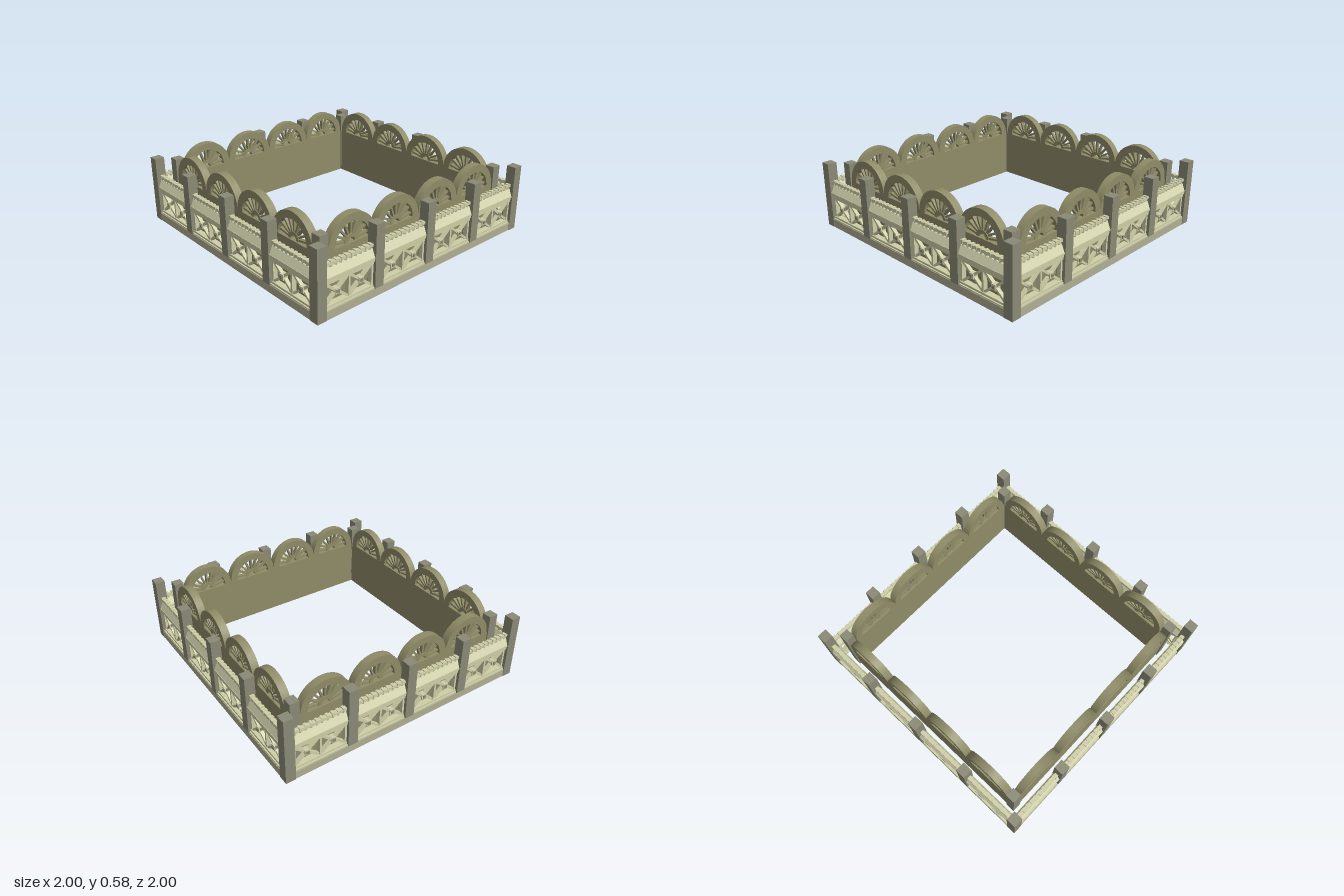
import * as THREE from 'three';

const mat = (color) => new THREE.MeshStandardMaterial({ color, flatShading: true });
const stone = mat(0x8b8a76), wallMat = mat(0x8f8c68), baseMat = mat(0xb0ae92);
const pale = mat(0xcfcfa8), coping = mat(0xd9d9b4);

function add(parent, name, geometry, material, x = 0, y = 0, z = 0) {
  const m = new THREE.Mesh(geometry, material);
  m.name = name;
  m.position.set(x, y, z);
  parent.add(m);
  return m;
}

// box given by its centre in x and z and its lower and upper y
function box(parent, name, material, x, y0, y1, z, w, d) {
  return add(parent, name, new THREE.BoxGeometry(w, y1 - y0, d), material, x, (y0 + y1) / 2, z);
}

function extrude(shape, depth, segments = 12) {
  const g = new THREE.ExtrudeGeometry(shape, { depth, bevelEnabled: false, curveSegments: segments });
  return g.translate(0, 0, -depth / 2);
}

// half ring standing on its chord
function halfRing(outer, inner) {
  const s = new THREE.Shape();
  s.absarc(0, 0, outer, 0, Math.PI, false);
  s.absarc(0, 0, inner, Math.PI, 0, true);
  s.closePath();
  return s;
}

const POST = 0.075, PITCH = 0.481, BAY = PITCH - POST, RAIL_Z = 0.961;
const WALL_Z = 0.848, ARCH_R = 0.202, WALL_TOP = 0.38;

const rimGeo = extrude(halfRing(ARCH_R, 0.147), 0.058, 24);
const hubGeo = extrude(halfRing(0.055, 0.03), 0.034, 12);
const spokeGeo = new THREE.BoxGeometry(0.105, 0.014, 0.026);

// half wheel with spokes, set on the inner wall
function wheelArch() {
  const g = new THREE.Group();
  g.name = 'wheelArch';
  add(g, 'archRim', rimGeo, wallMat);
  add(g, 'archHub', hubGeo, wallMat);
  const n = 9;
  for (let i = 0; i < n; i++) {
    const a = (i + 0.5) * Math.PI / n;
    add(g, 'spoke', spokeGeo, wallMat, Math.cos(a) * 0.1, Math.sin(a) * 0.1).rotation.z = a;
  }
  return g;
}

// square lattice field: crossed bars and a boss in the middle
function latticePanel(w, h) {
  const g = new THREE.Group();
  g.name = 'latticePanel';
  const angle = Math.atan2(h, w), len = Math.hypot(w, h) - 0.012;
  for (const s of [-1, 1]) {
    add(g, 'diagonal', new THREE.BoxGeometry(len, 0.017, 0.026), pale).rotation.z = s * angle;
  }
  add(g, 'boss', new THREE.BoxGeometry(0.04, 0.04, 0.04), pale);
  add(g, 'bossCap', new THREE.BoxGeometry(0.022, 0.022, 0.05), stone);
  return g;
}

// sloping coping cross-section, run along x
const slope = new THREE.Shape([[-0.03, 0.285], [0.03, 0.285], [0.007, 0.34], [-0.007, 0.34]]
  .map(([x, y]) => new THREE.Vector2(x, y)));
const copingGeo = extrude(slope, BAY).rotateY(Math.PI / 2);

// flared stem of a baluster, squared in plan
const stemGeo = new THREE.LatheGeometry(
  [[0, 0.285], [0.01, 0.285], [0.007, 0.31], [0.008, 0.335], [0.016, 0.36], [0, 0.36]]
    .map(([x, y]) => new THREE.Vector2(x, y)), 6);

function bay() {
  const g = new THREE.Group();
  g.name = 'fenceBay';
  // rails and ledges
  box(g, 'lowerLedge', pale, 0, 0.06, 0.07, 0, BAY, 0.065);
  box(g, 'lowerRail', pale, 0, 0.07, 0.085, 0, BAY, 0.045);
  box(g, 'upperRail', pale, 0, 0.235, 0.255, 0, BAY, 0.045);
  box(g, 'upperLedge', pale, 0, 0.255, 0.272, 0, BAY, 0.056);
  box(g, 'copingLedge', pale, 0, 0.272, 0.285, 0, BAY, 0.066);
  // stiles and lattice fields
  for (const s of [-1, 0, 1]) box(g, 'stile', pale, s * (BAY / 2 - 0.008), 0.085, 0.235, 0, 0.016, 0.034);
  for (const s of [-1, 1]) {
    const p = latticePanel(BAY / 2 - 0.016, 0.15);
    p.position.set(s * (BAY / 4 - 0.002), 0.16, 0);
    g.add(p);
  }
  // coping, balusters and top rail
  add(g, 'coping', copingGeo, coping);
  const n = 10;
  for (let i = 0; i < n; i++) {
    const x = ((i + 0.5) / n - 0.5) * BAY;
    add(g, 'baluster', stemGeo, coping, x);
    box(g, 'railTooth', pale, x, 0.358, 0.382, 0, 0.02, 0.034);
  }
  box(g, 'topRail', pale, 0, 0.356, 0.376, 0, BAY, 0.03);
  return g;
}

// one side of the enclosure, facing +z
function side() {
  const g = new THREE.Group();
  g.name = 'side';
  box(g, 'baseBoard', baseMat, 0, 0, 0.06, 0.977, 2 - 2 * POST, 0.04);
  for (let i = -1; i <= 1; i++) box(g, 'post', stone, i * PITCH, 0.06, 0.515, 0.9625, POST, POST);
  for (let i = 0; i < 4; i++) {
    const b = bay();
    b.position.set((i - 1.5) * PITCH, 0, RAIL_Z);
    g.add(b);
  }
  box(g, 'cornerPost', stone, 0.9625, 0, 0.515, 0.9625, POST, POST);

  // inner wall with its row of half wheels
  box(g, 'innerWall', wallMat, 0, 0, WALL_TOP, WALL_Z, 1.65, 0.058);
  for (let i = 0; i < 4; i++) {
    const a = wheelArch();
    a.position.set((i - 1.5) * 2 * ARCH_R, WALL_TOP, WALL_Z);
    g.add(a);
  }
  box(g, 'innerCornerPost', stone, 0.85, 0, 0.515, 0.85, 0.072, 0.072);
  return g;
}

export function createModel() {
  const model = new THREE.Group();
  model.name = 'enclosure';
  ['front', 'left', 'back', 'right'].forEach((name, i) => {
    const s = side();
    s.name = name + 'Side';
    s.rotation.y = i * Math.PI / 2;
    model.add(s);
  });
  return model;
}
